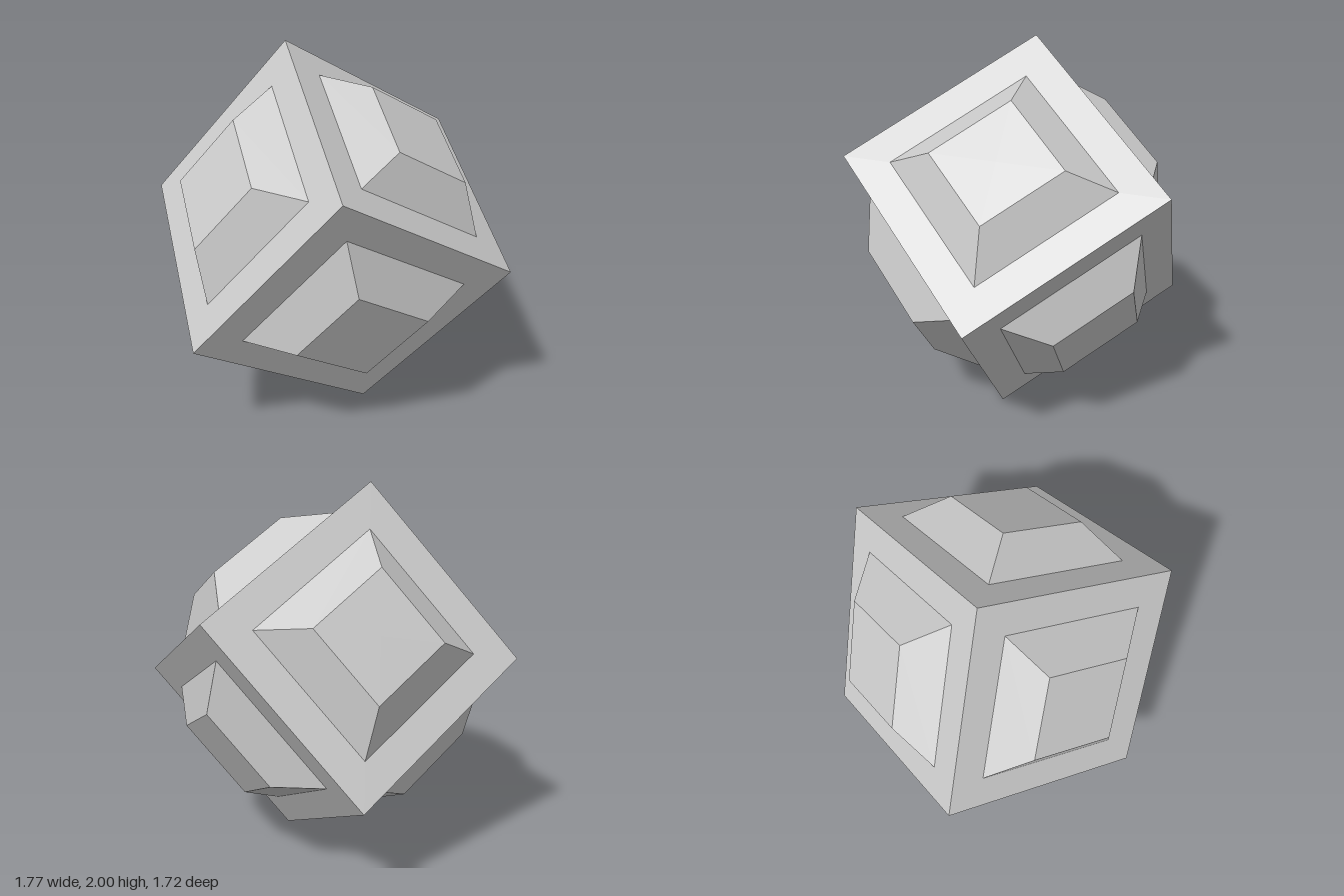
import * as THREE from 'three';

const SIDE = 1.19;    // cube edge
const BASE = 0.83;    // raised panel edge where it meets the cube
const TOP = 0.483;    // raised panel edge at its flat top
const HEIGHT = 0.165; // panel height

export function createModel() {
  const model = new THREE.Group();
  model.name = 'tiltedPanelledCube';
  const material = new THREE.MeshStandardMaterial({ color: 0xcccccc, flatShading: true });

  // Tilted body frame: the cube stands on one corner
  const u = new THREE.Vector3(1.03, -0.58, -0.13).normalize();
  const w = u.clone().cross(new THREE.Vector3(-0.16, -0.53, 1.05)).normalize();
  const v = w.clone().cross(u);
  const body = new THREE.Group();
  body.name = 'body';
  body.quaternion.setFromRotationMatrix(new THREE.Matrix4().makeBasis(u, v, w));
  body.position.y = 1;
  model.add(body);

  const cube = new THREE.Mesh(new THREE.BoxGeometry(SIDE, SIDE, SIDE), material);
  cube.name = 'cube';
  body.add(cube);

  // Square frustum, sitting just on the cube's face, repeated on all six faces
  const panelGeometry = new THREE.CylinderGeometry(TOP * Math.SQRT1_2, BASE * Math.SQRT1_2, HEIGHT, 4)
    .rotateY(Math.PI / 4)
    .translate(0, (SIDE + HEIGHT) / 2, 0);
  const turns = [
    [0, 0, 0], [Math.PI, 0, 0],
    [Math.PI / 2, 0, 0], [-Math.PI / 2, 0, 0],
    [0, 0, Math.PI / 2], [0, 0, -Math.PI / 2],
  ];
  turns.forEach((turn, i) => {
    const panel = new THREE.Mesh(panelGeometry, material);
    panel.name = `raisedPanel${i + 1}`;
    panel.rotation.set(...turn);
    body.add(panel);
  });

  return model;
}
